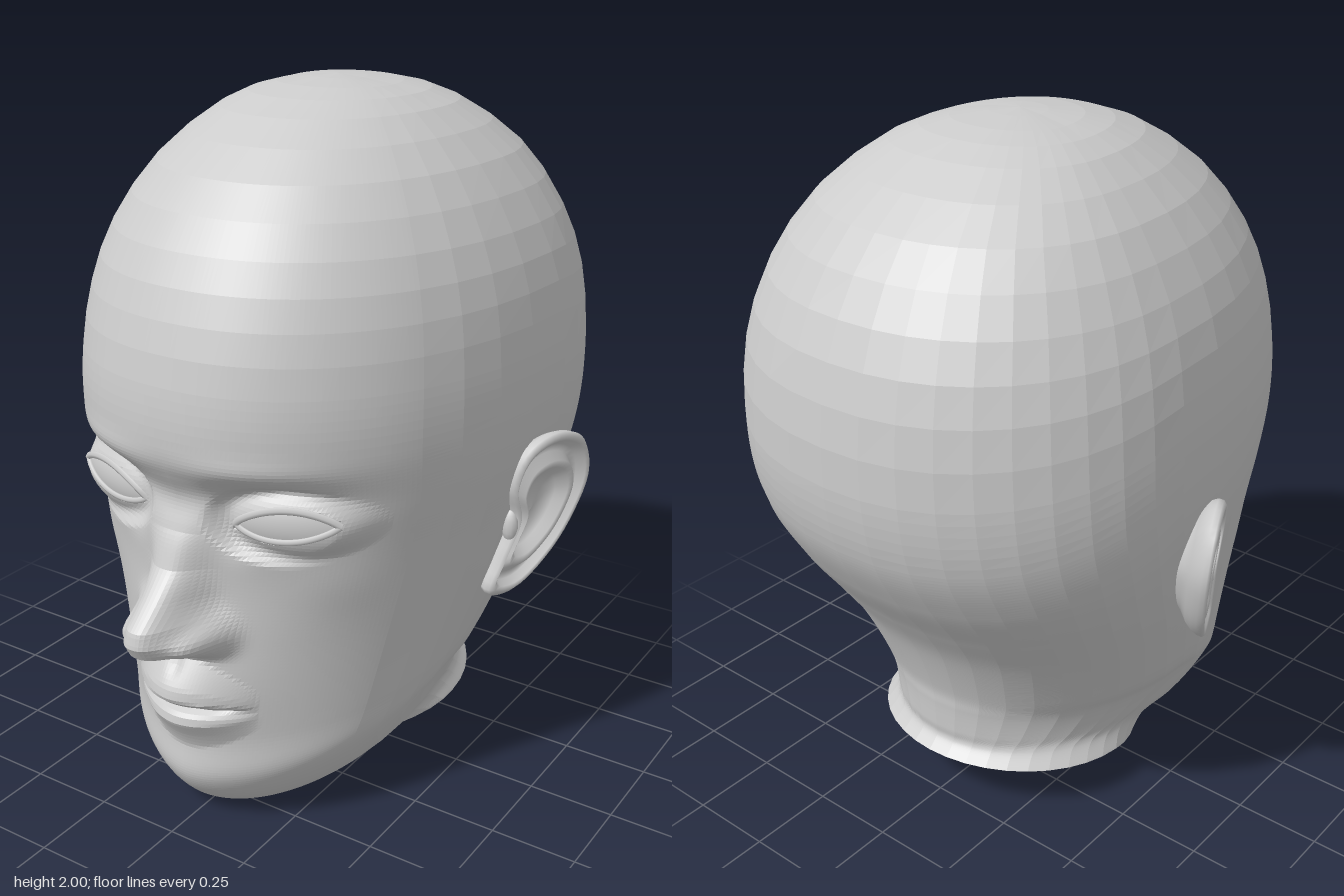
import * as THREE from 'three';

const skin = new THREE.MeshStandardMaterial({ color: 0xcccccc, flatShading: true, side: THREE.DoubleSide });
const smooth = new THREE.MeshStandardMaterial({ color: 0xcccccc, side: THREE.DoubleSide });
const { lerp, smoothstep } = THREE.MathUtils;

// Key rings from crown to neck rim: front y, z | half width, side y, z | back y, z
const KEYS = [
  [2, -.1, 0, 2, -.1, 2, -.1],
  [1.985, .07, .17, 1.98, -.12, 1.985, -.28],
  [1.93, .265, .31, 1.93, -.16, 1.935, -.44],
  [1.80, .47, .465, 1.80, -.2, 1.80, -.65],
  [1.64, .605, .575, 1.63, -.22, 1.62, -.79],
  [1.48, .68, .632, 1.47, -.24, 1.42, -.86],
  [1.32, .72, .655, 1.3, -.25, 1.2, -.877],
  [1.16, .73, .66, 1.15, -.25, 1.0, -.845],
  [1.0, .70, .65, 1.0, -.22, .84, -.765],
  [.8, .67, .615, .82, -.15, .69, -.66],
  [.6, .67, .575, .65, -.07, .56, -.58],
  [.3, .665, .51, .42, .03, .4, -.52],
  [.14, .665, .465, .33, .07, .33, -.51],
  [.013, .55, .415, .24, 0, .25, -.506],
  [.02, .38, .385, .19, -.1, .21, -.505],
  [.06, .22, .40, .135, -.15, .175, -.54],
];
// Nose: y, ridge height
const NOSE = [[.545, 0], [.562, .035], [.585, .125], [.61, .18], [.65, .207], [.69, .2], [.75, .135], [.82, .065], [.92, .018], [1.08, 0]];
// Lips: y, height
const LIPS = [[.25, 0], [.3, .02], [.345, .04], [.375, .028], [.392, -.012], [.408, .03], [.43, .052], [.465, .045], [.55, 0]];
const MOUTH = .392;

const lookUp = (table, y) => {
  if (y <= table[0][0]) return table[0][1];
  for (let i = 1; i < table.length; i++) {
    const a = table[i - 1], b = table[i];
    if (y < b[0]) return lerp(a[1], b[1], (y - a[0]) / (b[0] - a[0]));
  }
  return table[table.length - 1][1];
};
const bump = (x, y, cx, cy, sx, sy, h) => h * Math.exp(-(((x - cx) / sx) ** 2) - ((y - cy) / sy) ** 2);

// Eye surface and almond opening, for the left eye
const EX = .285, EY = .96, EW = .138;
const eyeRadius = (x, y) => Math.hypot((x - EX) / .21, (y - EY) / .12);
const eyeZ = (x, y) => .485 - .28 * (x - EX) + .12 * Math.sqrt(Math.max(0, 1 - eyeRadius(x, y) ** 2));
const lidY = (u, upper) => EY + .015 * u + (upper ? .048 : -.04) * Math.max(0, 1 - u * u) ** .85;

// Facial relief added to the smooth skull
function relief(px, y, z) {
  const x = Math.abs(px);
  const front = smoothstep(z, .2, .45);
  if (front === 0) return z;
  const noseWidth = .078 + .017 * smoothstep(.75 - y, 0, .1);
  let d = lookUp(NOSE, y) * Math.exp(-((x / noseWidth) ** 2.8));
  d += bump(x, y, .112, .63, .04, .045, .085);                    // nostril wings
  d += bump(x, y, .052, .582, .026, .014, -.05);                  // nostrils
  d += bump(x, y, 0, .44, .2, .14, .03);                          // muzzle
  d += bump(x, y, 0, .52, .02, .03, -.01);                        // philtrum
  const lip = Math.max(0, 1 - (x / .205) ** 2);
  d += lookUp(LIPS, MOUTH + (y - MOUTH) / (.4 + .6 * lip)) * lip; // lips
  d += bump(x, y, 0, .13, .13, .09, .008);                        // chin
  d += bump(x, y, 0, 1.0, .1, .07, -.035);                        // nose root
  d += bump(x, y, .24, 1.115, .16, .04, .012);                    // brow
  d += bump(x, y, .25, 1.025, .15, .06, -.055);                   // socket
  d += bump(x, y, .16, .95, .05, .07, -.035);                     // inner corner
  d += bump(x, y, .40, .78, .11, .1, .015);                       // cheekbone
  const out = z + d * front;
  const e = eyeZ(x, y), u = (x - EX) / EW;
  if (Math.abs(u) < 1 && y < lidY(u, true) && y > lidY(u, false)) return e - .015;
  return lerp(e + .008, out, smoothstep(eyeRadius(x, y), .6, 1));
}

// Joins closed rings of equal length into a surface
function loft(rings) {
  const n = rings[0].length, idx = [];
  for (let i = 0; i < rings.length - 1; i++) for (let j = 0; j < n; j++) {
    const a = i * n + j, c = i * n + (j + 1) % n;
    idx.push(a, a + n, c, c, a + n, c + n);
  }
  const g = new THREE.BufferGeometry();
  g.setAttribute('position', new THREE.Float32BufferAttribute(rings.flat(2), 3));
  g.setIndex(idx);
  g.computeVertexNormals();
  return g;
}

const catmull = (a, b, c, d, t) =>
  .5 * (2 * b + (c - a) * t + (2 * a - 5 * b + 4 * c - d) * t * t + (3 * b - a - 3 * c + d) * t ** 3);

function headGeometry() {
  // Angles from the face (fine) round to the back (coarse), then mirrored
  const half = [];
  for (let i = 0; i < 50; i++) half.push(.95 * i / 50);
  for (let i = 0; i <= 14; i++) half.push(.95 + (Math.PI - .95) * i / 14);
  const angles = [...half, ...half.slice(1, -1).reverse().map(a => -a)];

  const ring = ([fy, fz, w, sy, sz, by, bz]) => {
    // Full forehead, tapering jaw, round neck
    const frontPower = lerp(1.1, .9, smoothstep(fy, .3, 1.25));
    const backPower = lerp(1, .9, smoothstep(sy, .4, .9));
    return angles.map(a => {
      const c = Math.cos(a), s = Math.sin(a), p = c > 0 ? frontPower : backPower, m = Math.abs(c) ** p;
      const x = w * Math.sign(s) * Math.abs(s) ** p;
      const y = sy + ((c > 0 ? fy : by) - sy) * m, z = sz + ((c > 0 ? fz : bz) - sz) * m;
      return [x, y, c > 0 ? relief(x, y, z) : z];
    });
  };
  const rings = [];
  const last = KEYS.length - 1;
  for (let i = 0; i < last; i++) {
    const [a, b, c, d] = [Math.max(i - 1, 0), i, i + 1, Math.min(i + 2, last)].map(n => KEYS[n]);
    // Coarse over the skull, fine over the face
    const steps = b[0] > 1.4 ? 2 : Math.ceil(Math.hypot(c[0] - b[0], c[1] - b[1]) / (b[0] > 1.2 ? .03 : .011));
    for (let s = 0; s < steps; s++) rings.push(ring(b.map((_, n) => catmull(a[n], b[n], c[n], d[n], s / steps))));
  }
  rings.push(ring(KEYS[last]));
  return loft(rings);
}

// Ear: outline (z, y) scaled about the bowl, with a raised rim and a back shell
function earGeometry(side) {
  const outline = [[-.14, 1.07], [-.05, 1.03], [-.015, .93], [-.045, .82], [-.012, .7], [.012, .6], [-.06, .59],
    [-.165, .68], [-.232, .8], [-.262, .93], [-.222, 1.04]].map(([z, y]) => new THREE.Vector3(0, y, z));
  const pts = new THREE.CatmullRomCurve3(outline, true).getPoints(48).slice(0, 48);
  const layers = [[0, -.035], [.3, -.038], [.45, -.025], [.55, .002], [.64, .006], [.74, -.018], [.83, -.014], [.89, .008],
    [.95, .012], [1, .002], [1, -.014], [.96, -.034], [.86, -.055], [.7, -.075], [.5, -.15]];
  return loft(layers.map(([s, h]) => pts.map(p => {
    const y = .83 + (p.y - .83) * s, z = -.13 + (p.z + .13) * s;
    return [side * (.632 - .46 * (z + .03) + .1 * (y - .85) + h), y, z];
  })));
}

// Eye: a grid bent to fill the almond opening
function eyeGeometry(side) {
  const g = new THREE.PlaneGeometry(2, 1, 20, 8);
  const p = g.attributes.position;
  for (let i = 0; i < p.count; i++) {
    const u = p.getX(i) * side, x = EX + EW * u;
    const y = lerp(lidY(u, false), lidY(u, true), p.getY(i) + .5);
    p.setXYZ(i, side * x, y, eyeZ(x, y));
  }
  g.computeVertexNormals();
  return g;
}

function lidGeometry(side, upper) {
  const pts = [];
  for (let i = 0; i <= 16; i++) {
    const u = i / 8 - 1, x = EX + EW * u, y = lidY(u, upper);
    pts.push(new THREE.Vector3(side * x, y, eyeZ(x, y) + .002));
  }
  return new THREE.TubeGeometry(new THREE.CatmullRomCurve3(pts), 32, upper ? .011 : .009, 6);
}

export function createModel() {
  const group = new THREE.Group();
  const add = (name, geometry, material) => {
    const mesh = new THREE.Mesh(geometry, material);
    mesh.name = name;
    group.add(mesh);
    return mesh;
  };
  add('head', headGeometry(), skin);
  for (const side of [1, -1]) {
    const label = side > 0 ? 'left' : 'right';
    add(label + 'Ear', earGeometry(side), smooth);
    const tragus = add(label + 'Tragus', new THREE.SphereGeometry(1, 12, 8), smooth);
    tragus.scale.set(.025, .05, .022);
    tragus.position.set(side * .617, .8, -.045);
    add(label + 'Eye', eyeGeometry(side), smooth);
    add(label + 'UpperLid', lidGeometry(side, true), smooth);
    add(label + 'LowerLid', lidGeometry(side, false), smooth);
  }
  return group;
}
